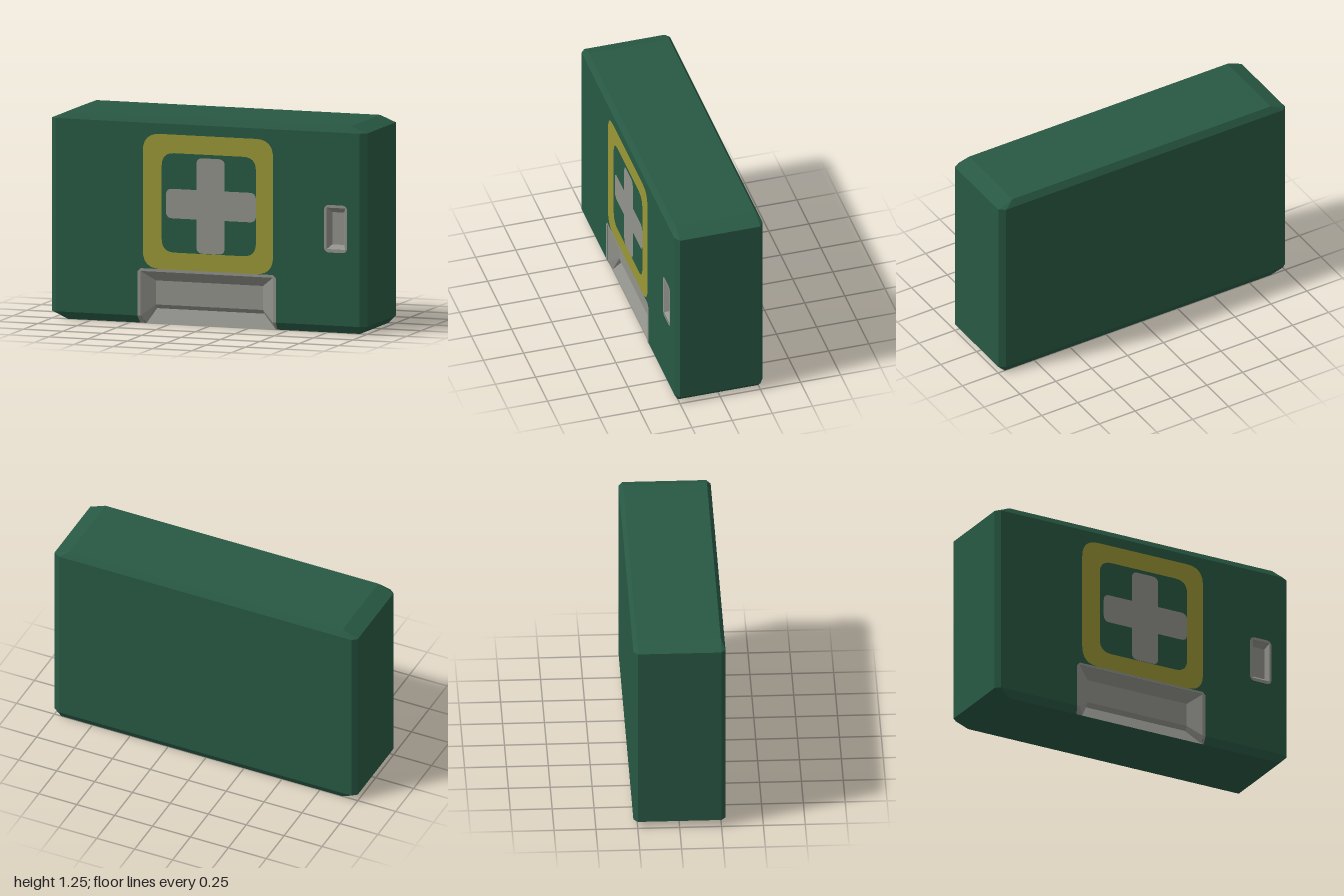
import * as THREE from 'three';
import { mergeGeometries } from 'three/addons/utils/BufferGeometryUtils.js';

const V = (x, y, z) => new THREE.Vector3(x, y, z);
const FRONT = 0.275, PAINT = 0.2765;

// flat polygon, wound so that it faces the point `eye` (or away from it)
function face(points, eye, away = false) {
  const n = new THREE.Vector3().crossVectors(
    points[1].clone().sub(points[0]), points[2].clone().sub(points[0]));
  const mid = points.reduce((s, p) => s.add(p), V(0, 0, 0)).divideScalar(points.length);
  const towards = n.dot(eye.clone().sub(mid)) > 0;
  const pts = towards === away ? [...points].reverse() : points;
  const tris = [];
  for (let i = 1; i < pts.length - 1; i++) tris.push(pts[0], pts[i], pts[i + 1]);
  const g = new THREE.BufferGeometry().setFromPoints(tris);
  g.computeVertexNormals();
  return g;
}

// flat shape placed at depth z, as bare triangles
function plate(shape, z) {
  const g = new THREE.ShapeGeometry(shape, 6).toNonIndexed();
  g.deleteAttribute('uv');
  return g.translate(0, 0, z);
}

function roundRect(x0, x1, y0, y1, r, Type = THREE.Shape) {
  const s = new Type();
  s.moveTo(x0 + r, y0);
  s.lineTo(x1 - r, y0); s.quadraticCurveTo(x1, y0, x1, y0 + r);
  s.lineTo(x1, y1 - r); s.quadraticCurveTo(x1, y1, x1 - r, y1);
  s.lineTo(x0 + r, y1); s.quadraticCurveTo(x0, y1, x0, y1 - r);
  s.lineTo(x0, y0 + r); s.quadraticCurveTo(x0, y0, x0 + r, y0);
  return s;
}

const shapeOf = (pts, Type = THREE.Shape) => new Type(pts.map(p => new THREE.Vector2(...p)));
const rectPath = (x0, x1, y0, y1) =>
  shapeOf([[x0, y0], [x1, y0], [x1, y1], [x0, y1]], THREE.Path);

// openings in the front
const tray = { x0: -0.43, x1: 0.41, top: 0.315, b0: -0.4, b1: 0.42 };
const slot = [0.752, 0.868, 0.505, 0.755];

function caseGeometry() {
  const L = -0.97, R = 0.96, LOW = 0.045, HIGH = 1.21;
  // three points for every bevelled corner
  const side = (sx, sy, sz) => V(sx, sy > 0 ? HIGH : LOW, sz * 0.25);
  const cap = (sx, sy, sz) => V(sy < 0 && sx > 0 ? 0.955 : sx * 0.9, sy > 0 ? 1.25 : 0, sz * 0.25);
  const flat = (sx, sy, sz) => V(sx > 0 ? R : L, sy > 0 ? HIGH : LOW, sz * FRONT);
  const list = [];
  const add = (...p) => list.push(face(p, V(0, 0.6, 0), true));
  const loop = [[-1, -1], [1, -1], [1, 1], [-1, 1]];

  for (const s of [-1, 1]) {
    add(...loop.map(([a, b]) => side(s, a, b)));
    add(...loop.map(([a, b]) => cap(a, s, b)));
    for (const t of [-1, 1]) {
      add(side(s, -1, t), side(s, 1, t), flat(s, 1, t), flat(s, -1, t));
      add(side(s, t, -1), side(s, t, 1), cap(s, t, 1), cap(s, t, -1));
      if (s > 0 || t < 0) add(cap(-1, s, t), cap(1, s, t), flat(1, s, t), flat(-1, s, t));
      for (const u of [-1, 1]) add(side(s, t, u), cap(s, t, u), flat(s, t, u));
    }
  }
  add(...loop.map(([a, b]) => flat(a, b, -1)));
  // lower front bevel on either side of the tray
  add(flat(-1, -1, 1), cap(-1, -1, 1), V(tray.b0, 0, 0.25), V(tray.x0, LOW, FRONT));
  add(flat(1, -1, 1), cap(1, -1, 1), V(tray.b1, 0, 0.25), V(tray.x1, LOW, FRONT));
  // front panel with the tray notch and the slot hole
  const front = shapeOf([[L, LOW], [tray.x0, LOW], [tray.x0, tray.top], [tray.x1, tray.top],
    [tray.x1, LOW], [R, LOW], [R, HIGH], [L, HIGH]]);
  front.holes.push(rectPath(...slot));
  list.push(plate(front, FRONT));
  return mergeGeometries(list);
}

function trayGeometry() {
  const { x0, x1, top, b0, b1 } = tray, l = -0.35, r = 0.33;
  const eye = V(0, 0.16, 0.6), list = [];
  // cross-section of each end: rim, back panel, undercut, lip
  const end = (rim, back, lip) => [V(rim, top, FRONT), V(back, 0.255, 0.225), V(back, 0.11, 0.225),
    V(back, 0.085, 0.205), V(lip, 0, 0.25), V(rim, 0.045, FRONT)];
  const a = end(x0, l, b0), b = end(x1, r, b1);
  for (let i = 0; i < 4; i++) {
    // the undercut faces down, so it is judged from below
    const from = i === 2 ? V(0, -0.3, 0.4) : eye;
    list.push(face([a[i], a[i + 1], b[i + 1], b[i]], from));
  }
  for (const e of [a, b]) {
    list.push(face([e[0], e[1], e[2], e[5]], eye));
    list.push(face([e[5], e[2], e[3], e[4]], eye));
  }
  return mergeGeometries(list);
}

function trayFrameGeometry() {
  const { x0, x1, top, b0, b1 } = tray, o0 = -0.45, o1 = 0.43, t = 0.332, c = 0.02;
  const frame = shapeOf([[o0, 0.045], [x0, 0.045], [x0, top], [x1, top], [x1, 0.045],
    [o1, 0.045], [o1, t - c], [o1 - c, t], [o0 + c, t], [o0, t - c]]);
  const list = [plate(frame, PAINT)];
  // strips running down the lower bevel
  for (const [p, q, s, u] of [[o0, x0, o0 + 0.01, b0], [x1, o1, b1, o1]]) {
    list.push(face([V(p, 0.045, PAINT), V(q, 0.045, PAINT), V(u, 0, 0.2515), V(s, 0, 0.2515)], V(0, 0.1, 2)));
  }
  return mergeGeometries(list);
}

function slotGeometry() {
  const [x0, x1, y0, y1] = slot, eye = V(0.81, 0.63, 0.8);
  const ring = (l, r, b, t, z) => [V(l, b, z), V(r, b, z), V(r, t, z), V(l, t, z)];
  const rim = ring(x0, x1, y0, y1, FRONT), back = ring(0.775, 0.852, 0.53, 0.725, 0.242);
  const list = [face(back, eye)];
  for (let i = 0; i < 4; i++) {
    const j = (i + 1) % 4;
    list.push(face([rim[i], rim[j], back[j], back[i]], eye));
  }
  return mergeGeometries(list);
}

export function createModel() {
  const material = (name, color) => {
    const m = new THREE.MeshStandardMaterial({ color });
    m.name = name;
    return m;
  };
  const green = material('green', 0x285944);
  const yellow = material('yellow', 0x9a9836);
  const grey = material('grey', 0x92938c);

  const group = new THREE.Group();
  group.name = 'wallBox';
  const add = (name, geometry, mat) => {
    const mesh = new THREE.Mesh(geometry, mat);
    mesh.name = name;
    group.add(mesh);
  };

  add('case', caseGeometry(), green);
  add('tray', trayGeometry(), grey);
  add('trayFrame', trayFrameGeometry(), grey);
  add('slot', slotGeometry(), grey);

  const slotFrame = roundRect(0.735, 0.882, 0.485, 0.772, 0.035);
  slotFrame.holes.push(rectPath(...slot));
  add('slotFrame', plate(slotFrame, PAINT), grey);

  // painted square border and cross
  const border = roundRect(-0.415, 0.412, 0.332, 1.147, 0.11);
  border.holes.push(roundRect(-0.295, 0.303, 0.436, 1.035, 0.08, THREE.Path));
  add('border', plate(border, PAINT), yellow);
  add('crossUpright', plate(roundRect(-0.075, 0.105, 0.438, 1.013, 0.04), PAINT), grey);
  add('crossBar', plate(roundRect(-0.268, 0.303, 0.642, 0.82, 0.04), PAINT), grey);
  return group;
}
